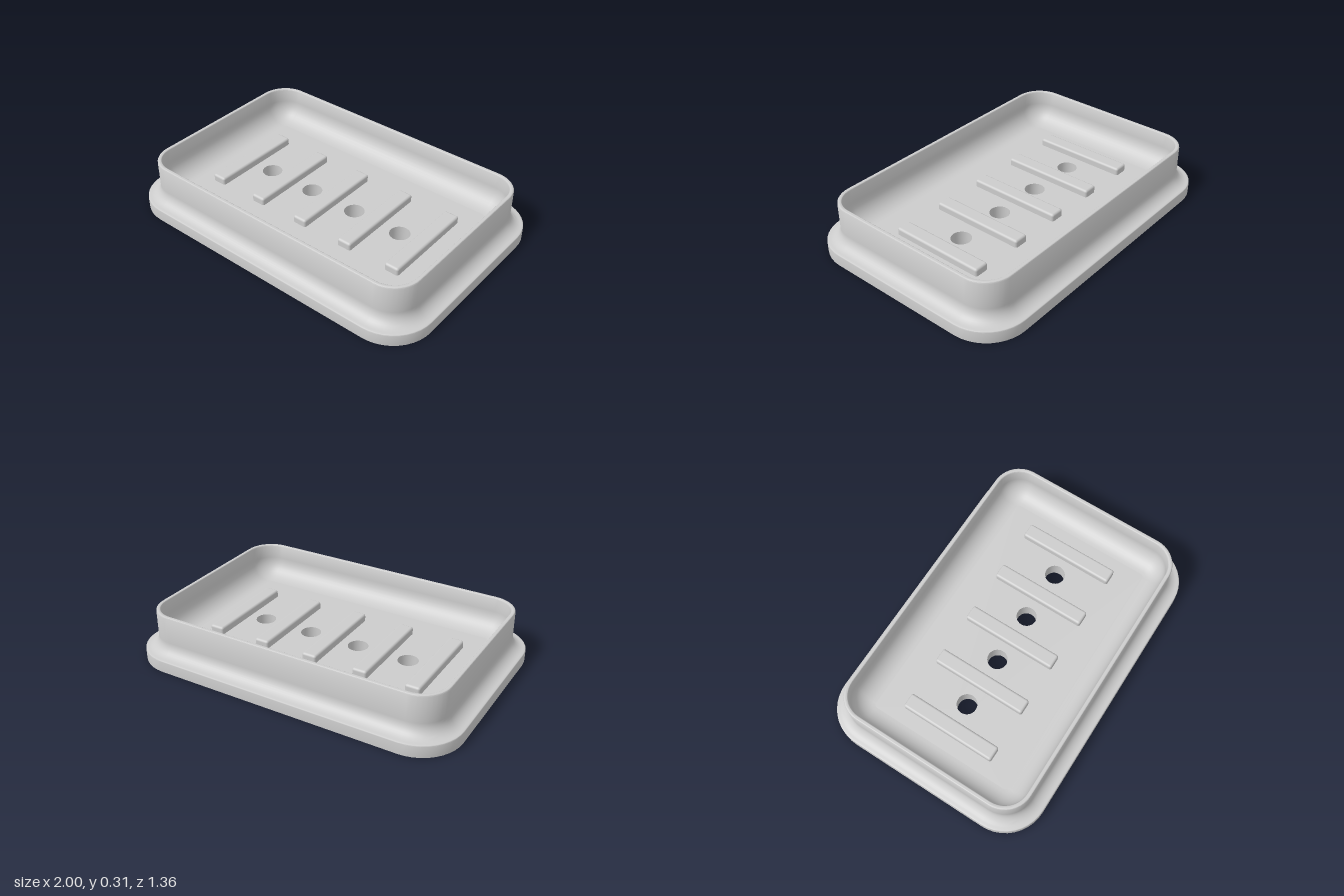
import * as THREE from 'three';
import { toCreasedNormals } from 'three/addons/utils/BufferGeometryUtils.js';
import { RoundedBoxGeometry } from 'three/addons/geometries/RoundedBoxGeometry.js';

const HALF_X = 1, HALF_Z = 0.68, CORNER = 0.25, FLOOR = 0.102;
const HOLES = [-0.477, -0.155, 0.165, 0.488], HOLE_R = 0.06, HOLE_Z = -0.007;

// Rounded rectangle, drawn inwards from the foot's edge by the given inset
function outline(inset) {
  const r = Math.max(CORNER - inset, 0.01), n = 10, pts = [];
  for (let q = 0; q < 4; q++) {
    const sx = q === 0 || q === 3 ? 1 : -1, sz = q < 2 ? 1 : -1;
    for (let i = 0; i <= n; i++) {
      const t = (q + i / n) * Math.PI / 2;
      pts.push(new THREE.Vector2(
        sx * (HALF_X - inset - r) + r * Math.cos(t),
        sz * (HALF_Z - inset - r) + r * Math.sin(t)));
    }
  }
  return pts;
}

// Arc of [inset, height] points
function arc(cx, cy, r, from, to, n) {
  return Array.from({ length: n + 1 }, (_, i) => {
    const t = (from + (to - from) * i / n) * Math.PI / 180;
    return [cx + r * Math.cos(t), cy + r * Math.sin(t)];
  });
}

// Skin through stacked outlines, one for each profile point
function skin(profile) {
  const pos = [], index = [];
  let count = 0;
  profile.forEach(([inset, y], j) => {
    const ring = outline(inset);
    count = ring.length;
    ring.forEach(p => pos.push(p.x, y, p.y));
    if (j === 0) return;
    for (let i = 0; i < count; i++) {
      const k = (i + 1) % count, lo = (j - 1) * count, hi = j * count;
      index.push(lo + i, hi + i, lo + k, lo + k, hi + i, hi + k);
    }
  });
  const g = new THREE.BufferGeometry();
  g.setAttribute('position', new THREE.Float32BufferAttribute(pos, 3));
  g.setIndex(index);
  return toCreasedNormals(g, 0.6);
}

// Flat plate pierced by the drain holes, facing up (1) or down (-1)
function plate(inset, y, facing) {
  const shape = new THREE.Shape(outline(inset));
  for (const x of HOLES) {
    shape.holes.push(new THREE.Path().absarc(x, -facing * HOLE_Z, HOLE_R, 0, Math.PI * 2, true));
  }
  return new THREE.ShapeGeometry(shape, 16).rotateX(-facing * Math.PI / 2).translate(0, y, 0);
}

export function createModel() {
  const group = new THREE.Group();
  const grey = new THREE.MeshStandardMaterial({ color: 0xcccccc });
  grey.name = 'grey';
  const inside = new THREE.MeshStandardMaterial({ color: 0xcccccc, side: THREE.BackSide });
  inside.name = 'grey hole lining';
  const add = (name, geometry, material = grey) => {
    const mesh = new THREE.Mesh(geometry, material);
    mesh.name = name;
    group.add(mesh);
    return mesh;
  };

  // Foot, coved outer wall, rim, inner wall and fillet down to the floor
  add('dishWall', skin([
    [0, 0], [0, 0.066],
    ...arc(0.006, 0.066, 0.006, 180, 90, 3),
    ...arc(0.006, 0.148, 0.076, -90, 0, 10),
    [0.082, 0.302],
    ...arc(0.091, 0.302, 0.009, 180, 90, 4),
    ...arc(0.099, 0.302, 0.009, 90, 0, 4),
    ...arc(0.228, FLOOR + 0.12, 0.12, 180, 270, 10),
  ]));
  add('floor', plate(0.228, FLOOR, 1));
  add('underside', plate(0, 0, -1));

  // Linings of the drain holes
  for (const x of HOLES) {
    add('drainHole', new THREE.CylinderGeometry(HOLE_R, HOLE_R, FLOOR, 32, 1, true), inside)
      .position.set(x, FLOOR / 2, HOLE_Z);
  }

  // Raised ribs
  for (let i = -2; i <= 2; i++) {
    add('rib', new RoundedBoxGeometry(0.09, 0.065, 0.59, 3, 0.014))
      .position.set(i * 0.321, FLOOR + 0.0115, -0.005);
  }
  return group;
}
